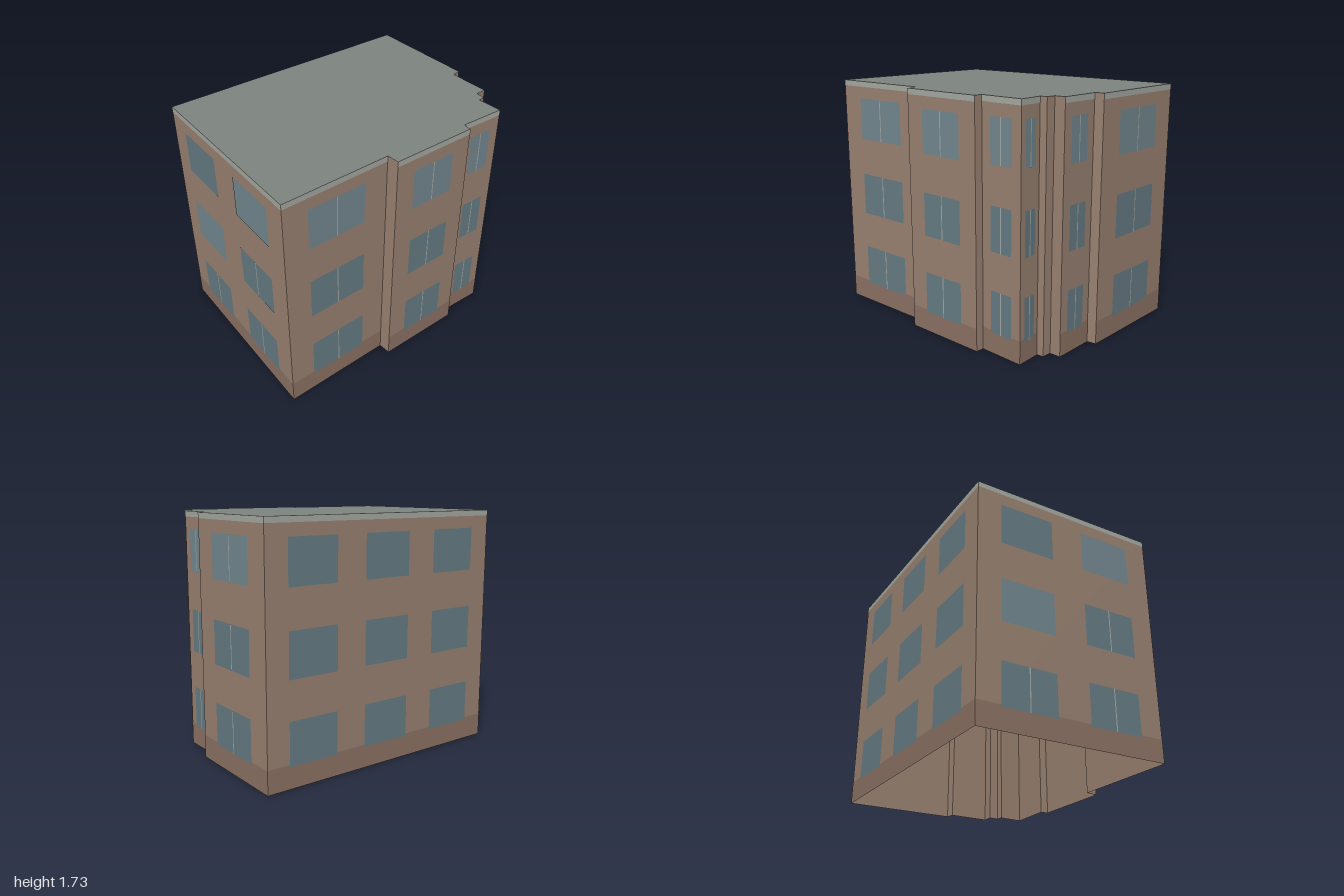
import * as THREE from 'three';

const HEIGHT = 1.73, PLINTH = 0.165, CORNICE = 0.04;
const FLOORS = [[0.15, 0.45], [0.72, 1.03], [1.3, 1.605]];

// Footprint corners [x, z], each starting a wall: [x, z, windowColumns, panes without mullion, lighter panes]
// Panes are listed as floor + column digits.
const ALL = ['00', '01', '02', '10', '11', '12', '20', '21', '22'];
const WALLS = [
  [-0.71, -1.0, 1, [], ['20']],            // back, main
  [0.12, -0.98, 0],
  [0.13, -0.915, 1, [], ['20']],           // back, first step
  [0.44, -0.91, 0],
  [0.44, -0.83, 0],
  [0.51, -0.825, 0],
  [0.515, -0.775, 1, [], ['20']],          // back, last step
  [0.70, -0.78, 1, [], ['20']],            // right, rear
  [0.685, -0.445, 0],
  [0.745, -0.44, 1, [], ['20']],           // right, middle
  [0.735, 0.19, 0],
  [0.645, 0.195, 1, [], ['20']],           // right, front
  [0.64, 1.0, 2, ['11', '20', '21'], ['11', '20']], // front
  [-0.75, 0.94, 3, ALL, []]                // left
];

const material = (color, side = THREE.FrontSide) =>
  new THREE.MeshStandardMaterial({ color, side });

export function createModel() {
  const building = new THREE.Group();
  building.name = 'apartmentBlock';
  const brick = material(0x9a8272, THREE.DoubleSide);
  const roofGrey = material(0x7e8581, THREE.DoubleSide);
  const plinthBrown = material(0x8c7264);
  const trim = material(0xa6aaa2);
  const glass = material(0x667c84);
  const paleGlass = material(0x738890);

  WALLS.forEach(([ax, az, columns, plain, pale], i) => {
    const [bx, bz] = WALLS[(i + 1) % WALLS.length];
    const length = Math.hypot(bx - ax, bz - az);
    const dx = (bx - ax) / length, dz = (bz - az) / length;
    const facade = new THREE.Group();
    facade.name = 'facade' + (i + 1);
    building.add(facade);

    // Flat panel centred at distance s along the wall, standing off by a small offset
    const panel = (name, mat, s, width, y0, y1, offset) => {
      const mesh = new THREE.Mesh(new THREE.PlaneGeometry(width, y1 - y0), mat);
      mesh.name = name;
      mesh.position.set(ax + dx * s + dz * offset, (y0 + y1) / 2, az + dz * s - dx * offset);
      mesh.rotation.y = Math.atan2(dz, -dx);
      facade.add(mesh);
    };

    panel('wall', brick, length / 2, length, 0, HEIGHT, 0);
    if (!columns) return;
    panel('plinth', plinthBrown, length / 2, length, 0, PLINTH, 0.0015);
    panel('cornice', trim, length / 2, length, HEIGHT - CORNICE, HEIGHT, 0.0015);

    // Evenly spaced windows on each floor
    const margin = Math.min(0.05, length * 0.06);
    const bay = (length - 2 * margin) / columns;
    FLOORS.forEach(([y0, y1], floor) => {
      for (let c = 0; c < columns; c++) {
        const key = `${floor}${c}`, s = margin + bay * (c + 0.5);
        panel('windowPane', pale.includes(key) ? paleGlass : glass, s, bay * 0.62, y0, y1, 0.003);
        if (!plain.includes(key)) panel('mullion', trim, s, 0.008, y0, y1, 0.0045);
      }
    });
  });

  // Flat roof over the stepped footprint
  const outline = new THREE.Shape(WALLS.map(([x, z]) => new THREE.Vector2(x, -z)));
  const roof = new THREE.Mesh(new THREE.ShapeGeometry(outline), roofGrey);
  roof.name = 'roof';
  roof.rotation.x = -Math.PI / 2;
  roof.position.y = HEIGHT;
  building.add(roof);
  return building;
}
